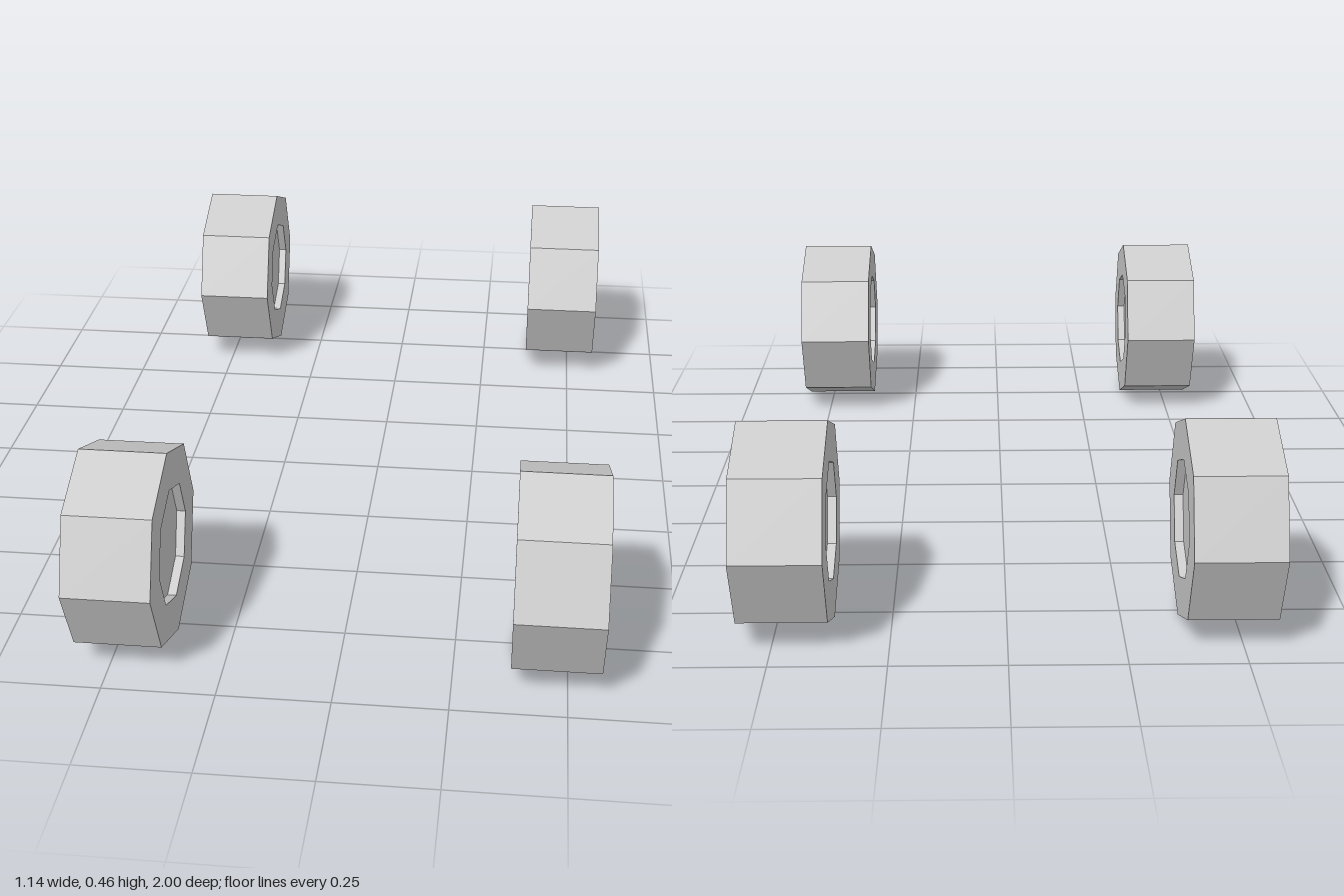
import * as THREE from 'three';

const RADIUS = 0.229;
const HUB_RADIUS = 0.137;
const HALF_WIDTH = 0.097;
const RECESS = 0.02;

// Octagonal wheel with a shallow hub recess on both faces, axle along x
function wheelGeometry() {
  const floor = HALF_WIDTH - RECESS;
  const profile = [
    [0, -floor], [HUB_RADIUS, -floor], [HUB_RADIUS, -HALF_WIDTH], [RADIUS, -HALF_WIDTH],
    [RADIUS, HALF_WIDTH], [HUB_RADIUS, HALF_WIDTH], [HUB_RADIUS, floor], [0, floor],
  ].map(([r, y]) => new THREE.Vector2(r, y));
  return new THREE.LatheGeometry(profile, 8).rotateZ(Math.PI / 2);
}

export function createModel() {
  const model = new THREE.Group();
  model.name = 'wheelSet';
  const material = new THREE.MeshStandardMaterial({ color: 0xcccccc, flatShading: true });
  const geometry = wheelGeometry();

  // Four wheels, mirrored left/right and front/back
  for (const [end, z] of [['front', 1], ['back', -1]]) {
    for (const [side, x] of [['Left', 1], ['Right', -1]]) {
      const wheel = new THREE.Mesh(geometry, material);
      wheel.name = `${end}${side}Wheel`;
      wheel.position.set(x * 0.474, RADIUS, z * (1 - RADIUS));
      model.add(wheel);
    }
  }
  return model;
}
